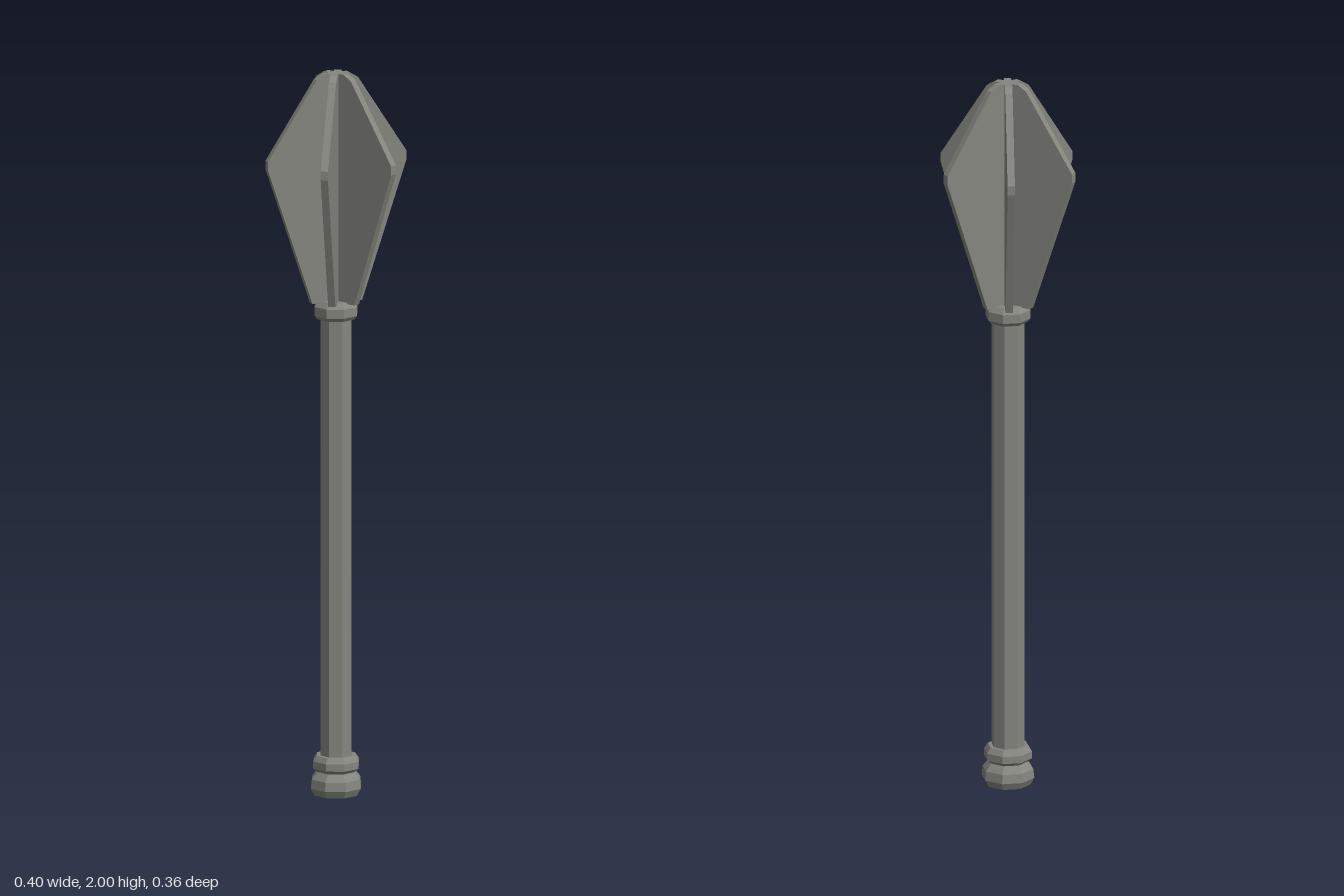
import * as THREE from 'three';

export function createModel() {
  const model = new THREE.Group();
  const steel = new THREE.MeshStandardMaterial({ color: 0x86867f, flatShading: true });
  steel.name = 'steel grey';

  const add = (name, geometry) => {
    const mesh = new THREE.Mesh(geometry, steel);
    mesh.name = name;
    model.add(mesh);
    return mesh;
  };

  // Eight-sided turned parts, profiles given as [radius, height] from the bottom up
  const turned = (name, profile) =>
    add(name, new THREE.LatheGeometry(profile.map(([r, y]) => new THREE.Vector2(r, y)), 8));

  turned('pommel', [
    [0, 0], [0.062, 0], [0.073, 0.02], [0.07, 0.045], [0.054, 0.065],
    [0.066, 0.075], [0.066, 0.095], [0.056, 0.11], [0, 0.11],
  ]);
  turned('shaft', [[0.045, 0.1], [0.045, 1.34]]);
  turned('collar', [
    [0, 1.32], [0.054, 1.32], [0.062, 1.33], [0.062, 1.355], [0.05, 1.37], [0, 1.37],
  ]);

  // Six flat flanges radiating from the axis
  const thickness = 0.02;
  const outline = new THREE.Shape([
    [0, 1.366], [0.072, 1.366], [0.2, 1.745], [0.2, 1.77], [0.06, 1.985], [0.035, 2], [0, 2],
  ].map(([x, y]) => new THREE.Vector2(x, y)));
  const flange = new THREE.ExtrudeGeometry(outline, { depth: thickness, bevelEnabled: false });
  flange.translate(0, 0, -thickness / 2);
  for (let i = 0; i < 6; i++) add(`flange${i + 1}`, flange).rotation.y = (i * Math.PI) / 3;

  return model;
}
